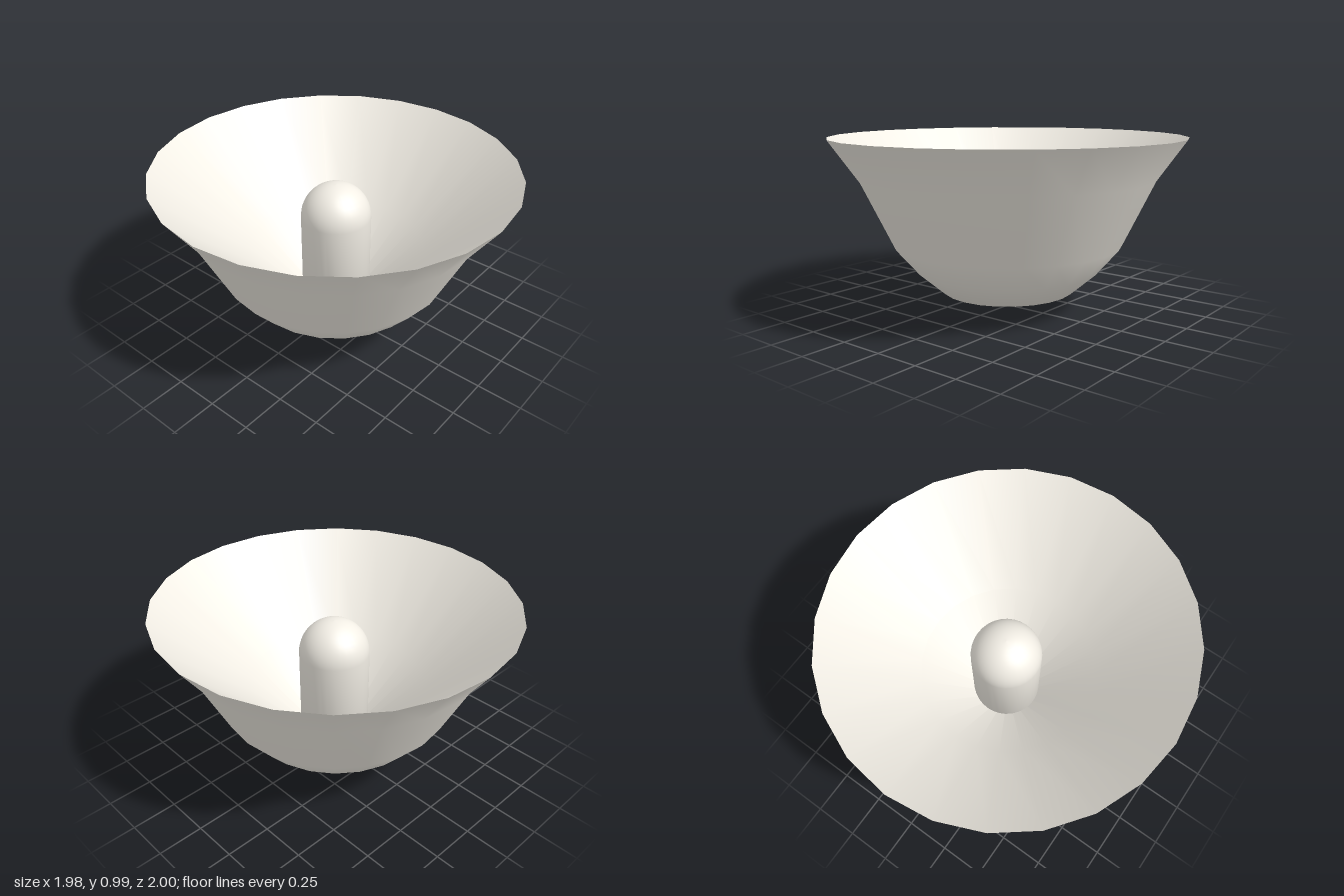
import * as THREE from 'three';

const cream = { color: 0xf2eee5 };

const lathe = (name, points, sides, options) => {
  const profile = points.map(([r, y]) => new THREE.Vector2(r, y));
  const material = new THREE.MeshStandardMaterial({ ...cream, ...options });
  const mesh = new THREE.Mesh(new THREE.LatheGeometry(profile, sides), material);
  mesh.name = name;
  return mesh;
};

export function createModel() {
  const group = new THREE.Group();
  group.name = 'bowlWithBulb';

  // Flared outer shell with a shallow pointed base
  const shell = lathe(
    'outerShell',
    [[0, 0], [0.38, 0.105], [0.525, 0.23], [0.655, 0.38], [0.837, 0.755], [1, 0.985]],
    24, {}
  );

  // Straight conical funnel lining the inside, from the rim to the base
  const funnel = lathe('innerFunnel', [[1, 0.985], [0.5, 0.495], [0.01, 0.01]], 24, {});

  // Both share the slightly oval rim
  for (const part of [shell, funnel]) {
    part.scale.x = 0.99;
    group.add(part);
  }

  // Round-topped post rising from the funnel
  const radius = 0.197, shoulder = 0.675;
  const profile = [[0, 0.1], [radius, 0.1]];
  for (let i = 0; i <= 12; i++) {
    const a = (i / 12) * Math.PI / 2;
    profile.push([radius * Math.cos(a), shoulder + radius * Math.sin(a)]);
  }
  const bulb = lathe('bulb', profile, 32, {});
  bulb.position.x = 0.01;
  group.add(bulb);

  return group;
}
